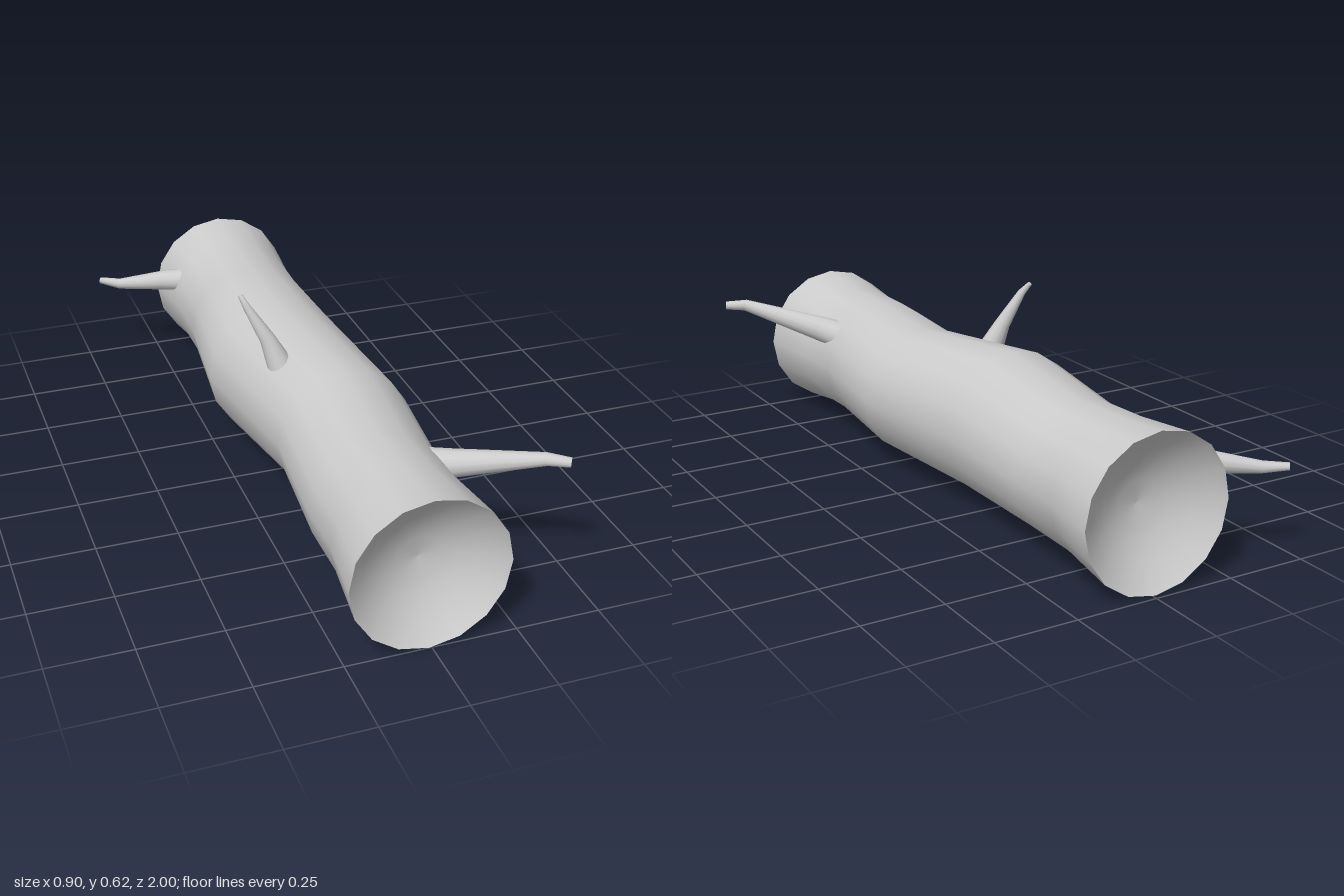
import * as THREE from 'three';

const material = new THREE.MeshStandardMaterial({ color: 0xcccccc });
const V = (x, y, z) => new THREE.Vector3(x, y, z);

// Smooth skin over rings of points; each ring has the same point count.
function skin(rings, name, capEnd = false) {
  const n = rings[0].length;
  const points = rings.flat();
  const index = [];
  for (let i = 0; i < rings.length - 1; i++) {
    for (let j = 0; j < n; j++) {
      const k = (j + 1) % n;
      const a = i * n + j, b = i * n + k, c = a + n, d = b + n;
      index.push(a, b, d, a, d, c);
    }
  }
  if (capEnd) {
    const start = points.length;
    points.push(...rings[rings.length - 1].map((p) => p.clone()));
    for (let j = 1; j < n - 1; j++) index.push(start, start + j, start + j + 1);
  }
  const geometry = new THREE.BufferGeometry().setFromPoints(points);
  geometry.setIndex(index);
  geometry.computeVertexNormals();
  const mesh = new THREE.Mesh(geometry, material);
  mesh.name = name;
  return mesh;
}

// Ring of points around a centre, spanned by two axes.
function ring(center, u, v, ru, rv, n) {
  return Array.from({ length: n }, (_, i) => {
    const a = (i / n) * Math.PI * 2;
    return center.clone().addScaledVector(u, ru * Math.cos(a)).addScaledVector(v, rv * Math.sin(a));
  });
}

// Tapered twig along a bent path; stations are [x, y, z, radius].
function twig(name, stations) {
  const path = stations.map(([x, y, z]) => V(x, y, z));
  const rings = path.map((p, i) => {
    const dir = path[Math.min(i + 1, path.length - 1)].clone().sub(path[Math.max(i - 1, 0)]).normalize();
    const u = V(0, 0, 1).cross(dir).normalize();
    const v = dir.clone().cross(u);
    return ring(p, u, v, stations[i][3], stations[i][3], 12);
  });
  return skin(rings, name, true);
}

const X = V(1, 0, 0), Y = V(0, 1, 0);

// Trunk stations, back to front: z, left edge, right edge, bottom, top.
const trunk = [
  [-0.985, -0.24, 0.225, 0, 0.465],
  [-0.79, -0.215, 0.203, 0.027, 0.448],
  [-0.6, -0.215, 0.2, 0.03, 0.44],
  [-0.22, -0.26, 0.2, 0.015, 0.475],
  [0.23, -0.18, 0.243, 0.028, 0.443],
  [0.6, -0.215, 0.2, 0.03, 0.442],
  [0.79, -0.215, 0.203, 0.027, 0.445],
  [1, -0.24, 0.225, 0, 0.465],
];

function trunkRing([z, x0, x1, y0, y1], scale = 1, dz = 0) {
  return ring(V((x0 + x1) / 2, (y0 + y1) / 2, z + dz), X, Y, (scale * (x1 - x0)) / 2, (scale * (y1 - y0)) / 2, 16);
}

// Hollowed bowl in an end of the log; inward is the z direction into the wood.
function hollow(name, station, inward) {
  const depth = 0.1;
  const rings = [1, 0.94, 0.82, 0.66, 0.48, 0.28, 0.001].map((s) =>
    trunkRing(station, s, inward * depth * (1 - s * s)));
  if (inward > 0) rings.forEach((r) => r.reverse());
  return skin(rings.reverse().map((r) => r.slice().reverse()), name);
}

export function createModel() {
  const log = new THREE.Group();
  log.name = 'log';

  // Bark surface
  log.add(skin(trunk.map((s) => trunkRing(s)), 'trunk'));

  // Bowl-shaped ends
  const front = hollow('frontHollow', trunk[trunk.length - 1], -1);
  const back = hollow('backHollow', trunk[0], 1);
  for (const [mesh, sign] of [[front, 1], [back, -1]]) {
    // Turn the faces outward if the winding points into the wood
    const normals = mesh.geometry.attributes.normal;
    let sum = 0;
    for (let i = 0; i < normals.count; i++) sum += normals.getZ(i);
    if (sum * sign < 0) {
      mesh.geometry.index.array.reverse();
      mesh.geometry.computeVertexNormals();
    }
    log.add(mesh);
  }

  // Broken twigs
  log.add(twig('leftTwig', [
    [0.13, 0.335, 0.63, 0.048],
    [0.19, 0.357, 0.685, 0.041],
    [0.385, 0.425, 0.85, 0.019],
    [0.44, 0.423, 0.885, 0.014],
  ]));
  log.add(twig('topTwig', [
    [-0.11, 0.4, 0.045, 0.04],
    [-0.143, 0.485, 0.025, 0.024],
    [-0.197, 0.585, 0, 0.012],
    [-0.211, 0.617, -0.025, 0.007],
  ]));
  log.add(twig('rightTwig', [
    [-0.17, 0.312, -0.845, 0.04],
    [-0.24, 0.303, -0.88, 0.034],
    [-0.385, 0.281, -0.948, 0.018],
    [-0.445, 0.285, -0.99, 0.011],
  ]));
  return log;
}
